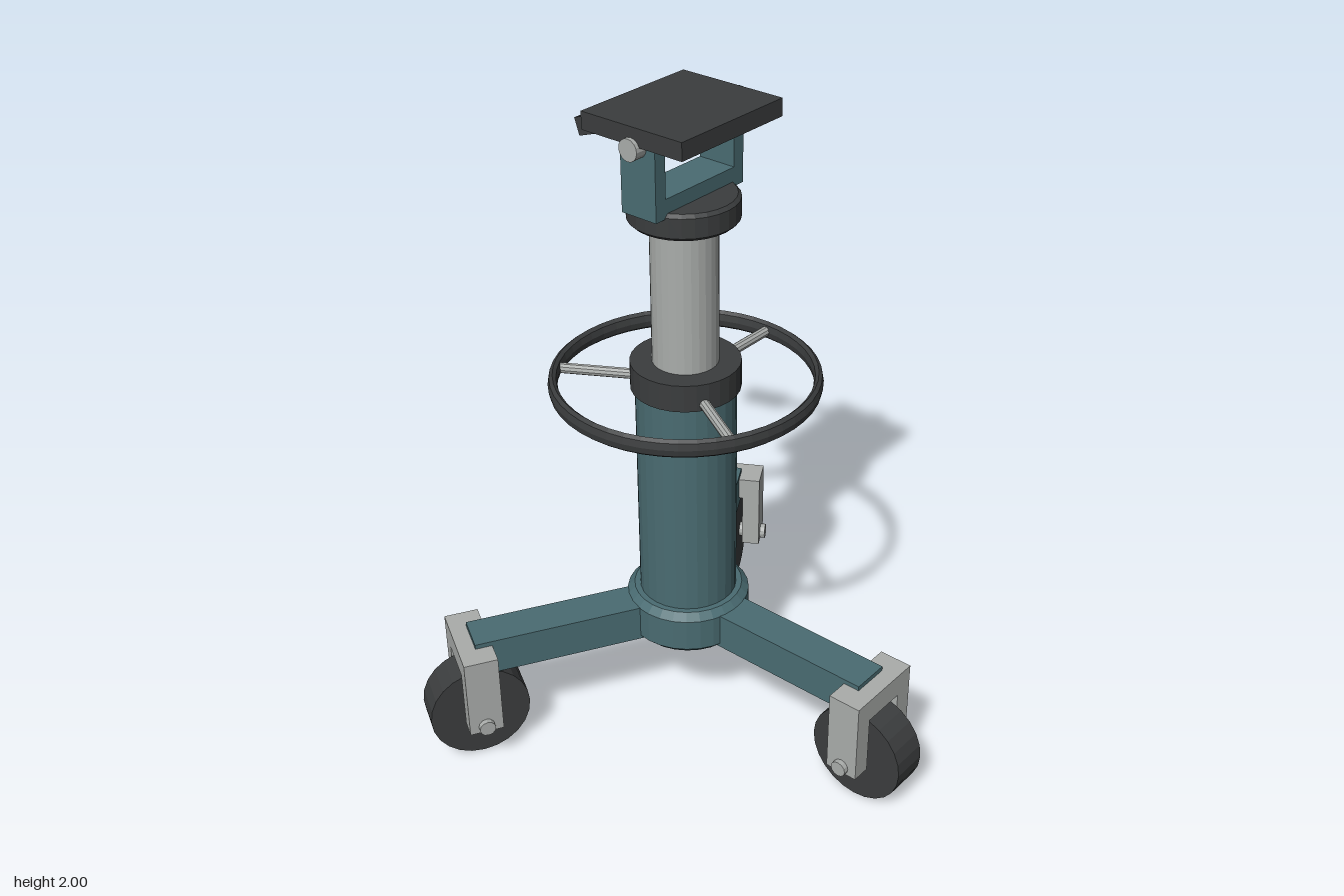
import * as THREE from 'three';

const AXIS_Z = -0.126;

const material = (color) => new THREE.MeshStandardMaterial({ color, flatShading: true });

export function createModel() {
  const teal = material(0x4a6c72);
  const dark = material(0x3b3d3e);
  const steel = material(0xaaadab);

  const add = (parent, name, geometry, mat, x = 0, y = 0, z = 0) => {
    const mesh = new THREE.Mesh(geometry, mat);
    mesh.name = name;
    mesh.position.set(x, y, z);
    parent.add(mesh);
    return mesh;
  };
  const box = (w, h, d) => new THREE.BoxGeometry(w, h, d);
  const rod = (r, length, sides = 24) => new THREE.CylinderGeometry(r, r, length, sides);
  const rodX = (r, length, sides) => rod(r, length, sides).rotateZ(Math.PI / 2);
  // Vertical disc from y0 to y1 with chamfered rims
  const chamferedDisc = (r, y0, y1, c) => new THREE.LatheGeometry([
    [0, y0], [r - c, y0], [r, y0 + c], [r, y1 - c], [r - c, y1], [0, y1],
  ].map(([x, y]) => new THREE.Vector2(x, y)), 28);

  const model = new THREE.Group();
  model.name = 'pedestalStand';
  const stand = new THREE.Group();
  stand.name = 'stand';
  stand.position.z = AXIS_Z;
  model.add(stand);

  // Base hub, outer column and telescoping post
  add(stand, 'baseHub', chamferedDisc(0.19, 0.288, 0.436, 0.022), teal);
  add(stand, 'column', rod(0.15, 0.77, 28), teal, 0, 0.805);
  add(stand, 'columnCollar', rod(0.163, 0.085, 28), dark, 0, 1.188);
  add(stand, 'post', rod(0.098, 0.52, 28), steel, 0, 1.44);
  add(stand, 'headCollar', chamferedDisc(0.16, 1.672, 1.75, 0.01), dark);

  // Three legs, each with a fork and a wheel
  const forkShape = new THREE.Shape([
    [-0.131, 0.135], [-0.072, 0.135], [-0.072, 0.325], [0.072, 0.325],
    [0.072, 0.135], [0.131, 0.135], [0.131, 0.4], [-0.131, 0.4],
  ].map(([x, y]) => new THREE.Vector2(x, y)));
  const forkGeometry = new THREE.ExtrudeGeometry(forkShape, { depth: 0.104, bevelEnabled: false })
    .translate(0, 0, -0.052);
  const reach = 0.7;
  for (let i = 0; i < 3; i++) {
    const leg = new THREE.Group();
    leg.name = 'leg' + (i + 1);
    leg.rotation.y = (i * Math.PI * 2) / 3;
    stand.add(leg);
    add(leg, 'legBeam', box(0.12, 0.118, 0.6), teal, 0, 0.356, reach - 0.3);
    add(leg, 'casterFork', forkGeometry, steel, 0, 0, reach);
    add(leg, 'casterWheel', rodX(0.155, 0.114, 24), dark, 0, 0.155, reach);
    add(leg, 'casterAxle', rodX(0.025, 0.295, 12), steel, 0, 0.158, reach);
  }

  // Handwheel with an oval rim and three spokes
  const handwheel = new THREE.Group();
  handwheel.name = 'handwheel';
  handwheel.position.y = 1.165;
  stand.add(handwheel);
  const rim = new THREE.TorusGeometry(0.387, 0.0145, 8, 48).rotateX(Math.PI / 2).scale(1, 2, 1);
  add(handwheel, 'rim', rim, dark);
  for (let i = 0; i < 3; i++) {
    const spoke = rodX(0.016, 0.25, 10).translate(0.26, 0, 0).rotateY((i * Math.PI * 2) / 3);
    add(handwheel, 'spoke' + (i + 1), spoke, steel);
  }

  // Yoke, tilt axle and top plate
  add(stand, 'yokeBase', box(0.366, 0.057, 0.122), teal, 0, 1.764);
  for (const side of [-1, 1]) {
    add(stand, side < 0 ? 'rightYokeArm' : 'leftYokeArm',
      box(0.04, 0.22, 0.122), teal, side * 0.163, 1.846);
  }
  add(stand, 'tiltAxle', rodX(0.032, 0.42, 16), steel, -0.01, 1.938);
  add(stand, 'topPlate', box(0.415, 0.052, 0.35), dark, 0, 1.974);

  // Tilt lever, sloping down towards the back
  const lever = new THREE.Group();
  lever.name = 'tiltLever';
  lever.position.set(0.228, 1.936, 0);
  lever.rotation.x = -THREE.MathUtils.degToRad(19);
  stand.add(lever);
  add(lever, 'leverHub', rodX(0.047, 0.07, 20), teal, -0.016);
  add(lever, 'leverBar', rod(0.0165, 0.47, 10).rotateX(Math.PI / 2), steel, 0, 0, -0.235);
  add(lever, 'leverGrip', box(0.06, 0.057, 0.186), dark, 0, 0, -0.533);

  return model;
}
